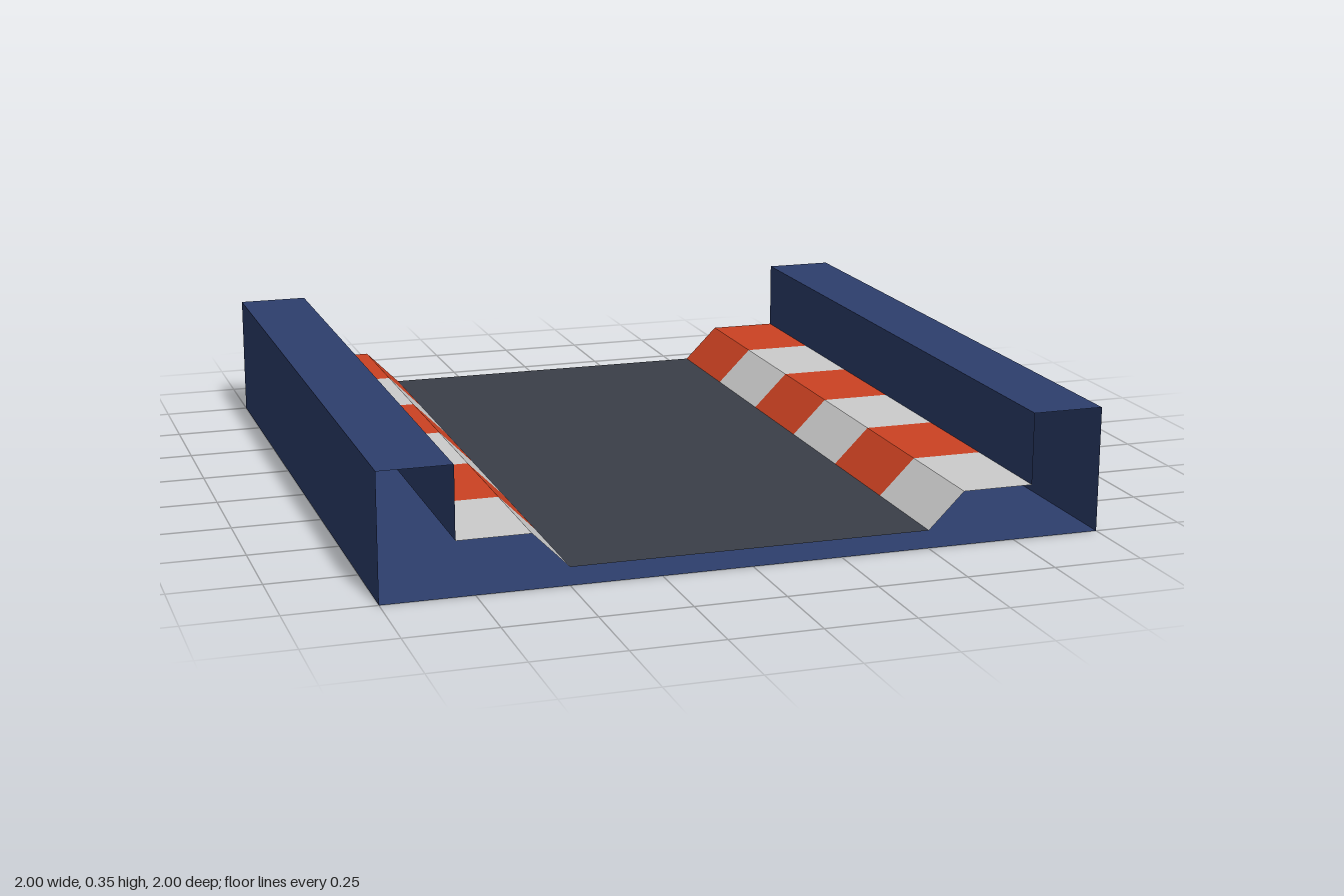
import * as THREE from 'three';

const material = (color) =>
  new THREE.MeshStandardMaterial({ color, side: THREE.DoubleSide, flatShading: true });

// Sweeps an open profile of [x, y] points along z; outside is left of the path
function sweep(name, points, z0, z1, mat) {
  const pos = [];
  for (let i = 0; i < points.length - 1; i++) {
    const [ax, ay] = points[i];
    const [bx, by] = points[i + 1];
    pos.push(ax, ay, z1, bx, by, z1, bx, by, z0);
    pos.push(ax, ay, z1, bx, by, z0, ax, ay, z0);
  }
  const geometry = new THREE.BufferGeometry();
  geometry.setAttribute('position', new THREE.Float32BufferAttribute(pos, 3));
  geometry.computeVertexNormals();
  const mesh = new THREE.Mesh(geometry, mat);
  mesh.name = name;
  return mesh;
}

// Mirrors a profile in x and keeps its outside on the same side
const mirror = (points) => points.map(([x, y]) => [-x, y]).reverse();

export function createModel() {
  const model = new THREE.Group();
  model.name = 'trackSection';

  const blue = material(0x2d3e6d);
  const asphalt = material(0x3a3e48);
  const red = material(0xcc4222);
  const white = material(0xd6d7da);

  // Open-ended hollow shell: underside, road and the two barriers
  const wall = [[-1, 0], [-1, 0.35], [-0.8, 0.35], [-0.8, 0.15]];
  const kerb = [[-0.8, 0.15], [-0.6, 0.15], [-0.5, 0.05]];
  model.add(sweep('underside', [[1, 0], [-1, 0]], -1, 1, blue));
  model.add(sweep('road', [[-0.5, 0.05], [0.5, 0.05]], -1, 1, asphalt));
  model.add(sweep('rightBarrier', wall, -1, 1, blue));
  model.add(sweep('leftBarrier', mirror(wall), -1, 1, blue));

  // Striped kerbs, red at the back and white at the front
  const stripes = 6;
  for (const [name, profile] of [['rightKerb', kerb], ['leftKerb', mirror(kerb)]]) {
    const group = new THREE.Group();
    group.name = name;
    for (let i = 0; i < stripes; i++) {
      const z0 = -1 + (2 * i) / stripes;
      group.add(sweep('kerbStripe', profile, z0, z0 + 2 / stripes, i % 2 ? white : red));
    }
    model.add(group);
  }
  return model;
}
